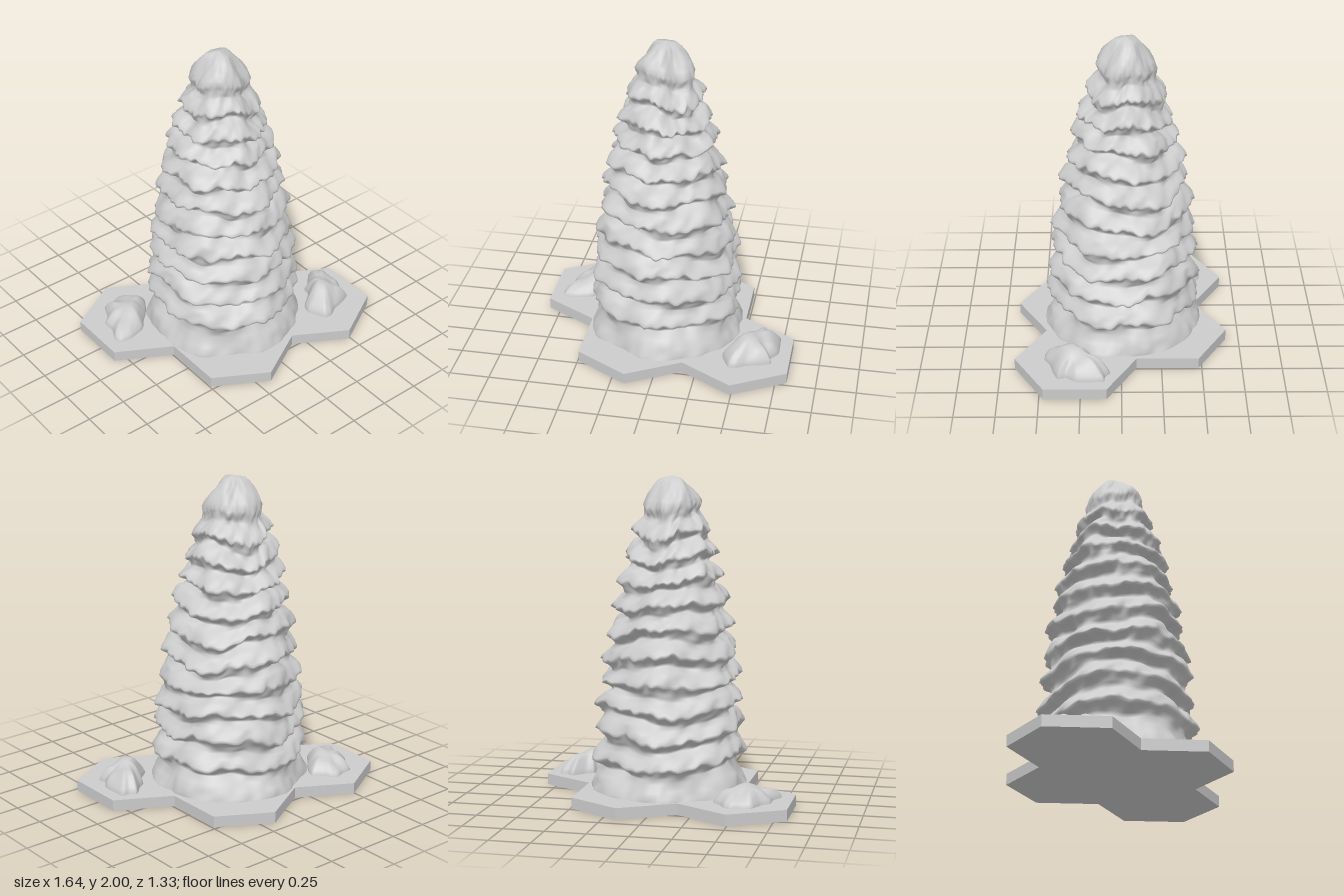
import * as THREE from 'three';

const material = new THREE.MeshStandardMaterial({ color: 0xcccccc, roughness: 0.9 });
const SLAB = 0.07;

// Skin over closed rings of points, listed from bottom to top
function loft(rings, name) {
  const n = rings[0].length, index = [];
  for (let i = 0; i < rings.length - 1; i++) {
    for (let j = 0; j < n; j++) {
      const a = i * n + j, b = i * n + (j + 1) % n;
      index.push(a, a + n, b, b, a + n, b + n);
    }
  }
  const geometry = new THREE.BufferGeometry().setFromPoints(rings.flat());
  geometry.setIndex(index);
  geometry.computeVertexNormals();
  const mesh = new THREE.Mesh(geometry, material);
  mesh.name = name;
  return mesh;
}

// Slab in the outline of four joined hexagons
function makeBase() {
  const outline = [
    [-0.825, -0.48], [-0.495, -0.667], [-0.165, -0.478], [0.165, -0.667], [0.49, -0.48],
    [0.49, -0.095], [0.82, 0.09], [0.82, 0.475], [0.49, 0.662], [0.165, 0.475],
    [-0.165, 0.662], [-0.493, 0.475], [-0.493, 0.09], [-0.825, -0.095],
  ];
  const shape = new THREE.Shape(outline.map(([x, z]) => new THREE.Vector2(x, -z)));
  const geometry = new THREE.ExtrudeGeometry(shape, { depth: SLAB, bevelEnabled: false });
  geometry.rotateX(-Math.PI / 2);
  const mesh = new THREE.Mesh(geometry, material);
  mesh.name = 'hexagonBase';
  return mesh;
}

// Radius of the foliage tips at a height
const envelope = [[0, 0.485], [0.3, 0.47], [0.6, 0.452], [0.9, 0.413], [1.2, 0.364],
  [1.5, 0.288], [1.7, 0.226], [1.85, 0.168], [1.9, 0.135], [1.95, 0.095], [1.985, 0.062], [2, 0]];
function tipRadius(y) {
  const k = Math.max(1, envelope.findIndex(p => p[0] >= y));
  const [y0, r0] = envelope[k - 1], [y1, r1] = envelope[k];
  return THREE.MathUtils.lerp(r0, r1, (y - y0) / (y1 - y0));
}

// Tilt and drift of the tiers, which also break off in steps
const drift = (a, y) => -0.5 * Math.cos(a) + 0.4 * Math.sin(a) + 0.35 * Math.sin(2 * a + 5 * y)
  + 0.25 * Math.sin(3 * a - 7 * y + 1) + 0.3 * Math.tanh(4 * Math.sin(3 * a + 4 * y + 2))
  + 0.2 * Math.sin(7 * a + 9 * y);
// Uneven lobes along each lip
const lobes = (a, i) => Math.abs(Math.sin(5.5 * a + 2.1 * i + Math.sin(3 * a + i)))
  + 0.5 * Math.abs(Math.sin(10 * a + 3.7 * i + 1.3 * Math.sin(2 * a - i)))
  + 0.35 * Math.sin(29 * a + 1.9 * i + 2 * Math.sin(4 * a)) - 0.9;

function makeTree() {
  const columns = 160;
  // Heights of the grooves below each tier
  const grooves = [0.22, 0.39, 0.555, 0.705, 0.86, 1.025, 1.18, 1.33, 1.47, 1.61, 1.76];
  // Rows: height, depth below the tip radius, lip weight, tier number
  const rows = [[SLAB - 0.02, -0.005, 0.4, 0], [0.09, 0, 0.6, 0], [0.13, 0.02, 0.5, 0], [0.18, 0.04, 0.2, 0]];
  // One tier from the groove, out to the drooping lip, then up the slope
  const profile = [[0, 0.066, 0], [0.12, 0.056, 0.15], [0.23, 0.036, 0.45], [0.32, 0.014, 0.85], [0.38, 0, 1],
    [0.46, 0.001, 0.85], [0.57, 0.01, 0.6], [0.71, 0.025, 0.4], [0.87, 0.048, 0.15]];
  for (let i = 0; i < grooves.length - 1; i++) {
    for (const [t, depth, lip] of profile) {
      rows.push([THREE.MathUtils.lerp(grooves[i], grooves[i + 1], t), depth, lip, i + 1]);
    }
  }
  // Lumpy crown
  rows.push([1.76, 0.06, 0, 12], [1.785, 0.045, 0.3, 12], [1.805, 0.025, 0.7, 12], [1.83, 0, 0.8, 12],
    [1.865, 0, 0.5, 12], [1.9, 0, 0.3, 12], [1.93, 0, 0.15, 12], [1.96, 0, 0, 12], [1.985, 0, 0, 12], [2, 0, 0, 12]);

  const rings = rows.map(([y, depth, lip, tier]) => {
    const size = Math.min(1, tipRadius(y) / 0.3);
    const calm = THREE.MathUtils.smoothstep(y, 0.07, 0.3) * (1 - THREE.MathUtils.smoothstep(y, 1.8, 2));
    const lean = y * 0.01;
    return Array.from({ length: columns }, (_, j) => {
      const a = j / columns * Math.PI * 2;
      const lobe = lobes(a, tier);
      const bumps = 0.008 * Math.sin(5 * a + 17 * y + Math.sin(2 * a)) + 0.006 * Math.sin(9 * a - 23 * y)
        + 0.004 * Math.sin(16 * a + 60 * y);
      const lumps = 1 + 0.16 * THREE.MathUtils.smoothstep(y, 1.78, 1.92) * Math.sin(3 * a + 14 * y);
      const hex = 1 - 0.025 * Math.cos(6 * a);
      const grooveDepth = depth * (1 + 0.35 * Math.sin(3 * a + 4 * tier));
      const r = Math.max(0, tipRadius(y) * hex * lumps + size * (bumps + 0.012 * lip * lobe - grooveDepth));
      const h = y + 0.034 * calm * drift(a, y) - 0.014 * calm * lip * lobe;
      return new THREE.Vector3(Math.cos(a) * r - 0.012 - lean, h, Math.sin(a) * r - 0.012 - lean);
    });
  });
  return loft(rings, 'tieredTree');
}

// Low boulder: an uneven ground outline under a creased top
function makeRock(name, outline, [cx, cz], height, seed) {
  const points = new THREE.CatmullRomCurve3(
    outline.map(([x, z]) => new THREE.Vector3(x, 0, z)), true, 'catmullrom', 0.2).getPoints(60).slice(0, 60);
  const profile = [[1, -0.1], [0.99, 0.1], [0.93, 0.26], [0.84, 0.43], [0.72, 0.62], [0.58, 0.78],
    [0.42, 0.9], [0.28, 0.95], [0.14, 0.96], [0, 0.96]];
  const rings = profile.map(([s, h]) => points.map(p => {
    const x = (p.x - cx) * s, z = (p.z - cz) * s;
    const crease = Math.abs(Math.sin(13 * x + 8 * z + seed)) + Math.abs(Math.sin(9 * z - 14 * x + 2 * seed)) - 1.1;
    const y = SLAB + height * (h + 0.2 * crease * Math.min(1, 3 * (1 - s)));
    return new THREE.Vector3(cx + x, y, cz + z);
  }));
  return loft(rings, name);
}

export function createModel() {
  const model = new THREE.Group();
  model.name = 'treeOnHexagonBase';
  model.add(makeBase(), makeTree());
  model.add(makeRock('backRock', [
    [-0.62, -0.5], [-0.55, -0.51], [-0.49, -0.53], [-0.45, -0.51], [-0.42, -0.46], [-0.37, -0.41], [-0.39, -0.36],
    [-0.44, -0.29], [-0.5, -0.23], [-0.55, -0.17], [-0.66, -0.14], [-0.74, -0.15], [-0.75, -0.2], [-0.71, -0.28],
    [-0.71, -0.36], [-0.66, -0.41],
  ], [-0.55, -0.34], 0.095, 0.6));
  model.add(makeRock('frontRock', [
    [0.42, 0.3], [0.52, 0.22], [0.53, 0.17], [0.58, 0.14], [0.65, 0.07], [0.69, 0.1], [0.74, 0.11], [0.745, 0.27],
    [0.7, 0.34], [0.71, 0.39], [0.64, 0.42], [0.56, 0.44], [0.5, 0.475], [0.45, 0.47], [0.4, 0.36],
  ], [0.58, 0.29], 0.125, 2.1));
  return model;
}
